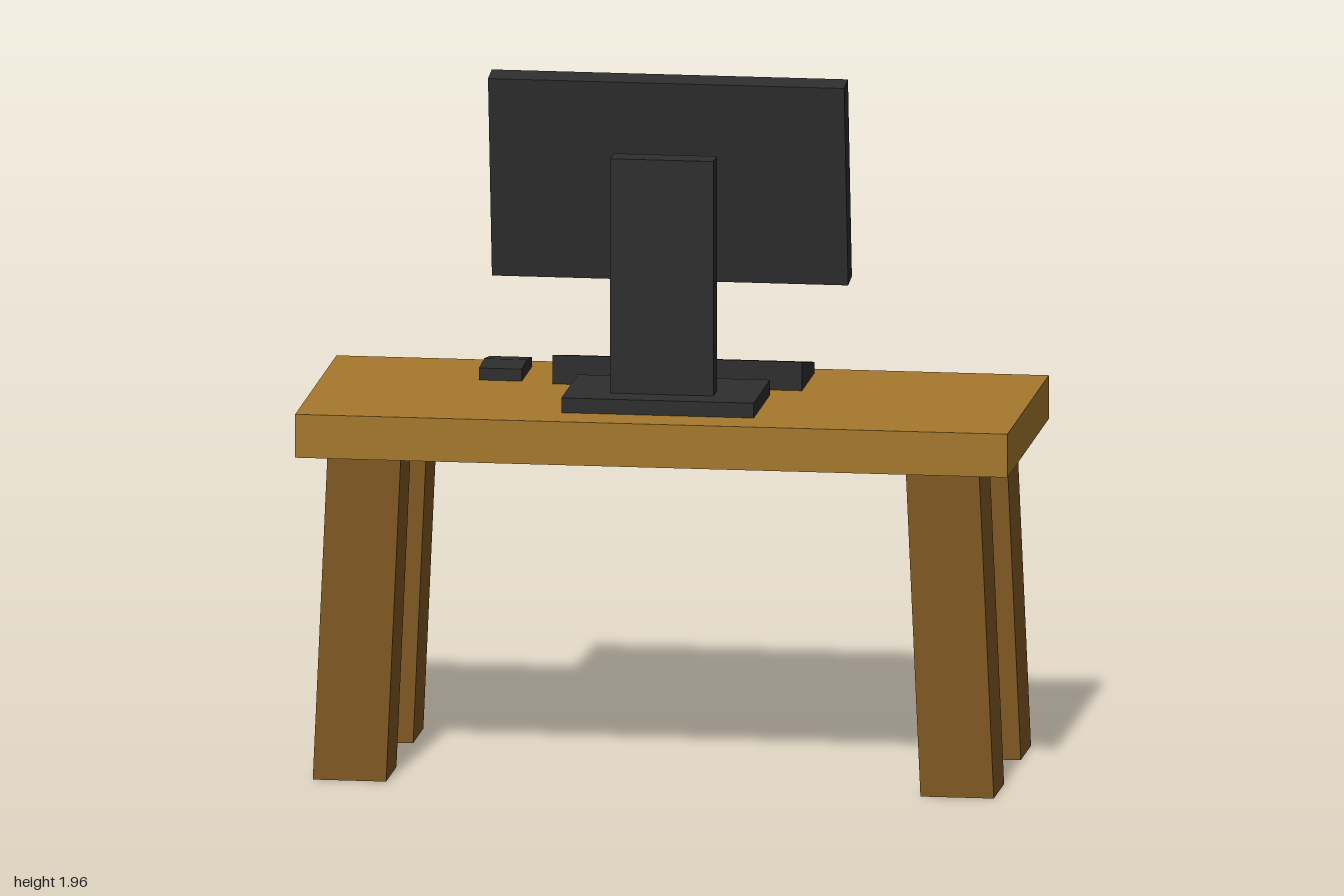
import * as THREE from 'three';

const mat = (name, color) => new THREE.MeshStandardMaterial({ name, color });

export function createModel() {
  const model = new THREE.Group();
  model.name = 'computerDesk';
  const wood = mat('lightWood', 0xa5782d);
  const legWood = mat('darkWood', 0x7f5823);
  const black = mat('charcoalPlastic', 0x2e2e2e);
  const grey = mat('screenGrey', 0xd0d0d0);
  const green = mat('chartGreen', 0x18c010);

  const add = (parent, name, geometry, material) => {
    const mesh = new THREE.Mesh(geometry, material);
    mesh.name = name;
    parent.add(mesh);
    return mesh;
  };

  // Box between limits; an optional rule moves its corners
  const box = (name, [x0, x1], [y0, y1], [z0, z1], material, rule, zSegments = 1) => {
    let g = new THREE.BoxGeometry(x1 - x0, y1 - y0, z1 - z0, 1, 1, zSegments);
    g.translate((x0 + x1) / 2, (y0 + y1) / 2, (z0 + z1) / 2);
    if (rule) {
      g = g.toNonIndexed();
      const p = g.attributes.position;
      const v = new THREE.Vector3();
      for (let i = 0; i < p.count; i++) {
        rule(v.fromBufferAttribute(p, i));
        p.setXYZ(i, v.x, v.y, v.z);
      }
      g.computeVertexNormals();
    }
    return add(model, name, g, material);
  };

  // Table top and four legs splayed sideways
  box('tableTop', [-1, 1], [0.92, 1.043], [-0.415, 0.415], wood);
  for (const side of [-1, 1]) {
    for (const z of [-0.268, 0.272]) {
      box('tableLeg', [side * 0.853 - 0.103, side * 0.853 + 0.103], [0, 0.92],
        [z - 0.103, z + 0.103], legWood, (v) => { if (v.y > 0.5) v.x -= side * 0.041; });
    }
  }

  // Monitor stand
  box('standBase', [-0.27, 0.27], [1.043, 1.085], [-0.04, 0.29], black);
  box('standColumn', [-0.145, 0.145], [1.085, 1.75], [0.13, 0.205], black);
  box('standBracket', [-0.12, 0.12], [1.59, 1.665], [0.06, 0.13], black);

  // Keyboard wedge, lower toward the user
  box('keyboard', [-0.35, 0.35], [1.043, 1.125], [-0.355, -0.105], black,
    (v) => { if (v.y > 1.1 && v.z < -0.2) v.y = 1.075; });

  // Mouse with a ridge across its back
  box('mouse', [-0.56, -0.44], [1.043, 1.083], [-0.34, -0.13], black,
    (v) => { if (v.y > 1.06) v.y -= v.z < -0.3 ? 0.014 : v.z > -0.2 ? 0.006 : 0; }, 2);

  // Tilted display
  const display = new THREE.Group();
  display.name = 'display';
  display.position.set(0, 1.668, 0.041);
  display.rotation.x = 0.136;
  model.add(display);
  add(display, 'displayCase', new THREE.BoxGeometry(1, 0.58, 0.077), black);

  // Screen group looks toward -z
  const face = new THREE.Group();
  face.name = 'screen';
  face.rotation.y = Math.PI;
  face.position.z = -0.0385;
  display.add(face);

  const w = 0.463, h = 0.255, r = 0.025;
  const panel = new THREE.Shape();
  panel.moveTo(-w + r, -h);
  panel.absarc(w - r, -h + r, r, -Math.PI / 2, 0);
  panel.absarc(w - r, h - r, r, 0, Math.PI / 2);
  panel.absarc(-w + r, h - r, r, Math.PI / 2, Math.PI);
  panel.absarc(-w + r, -h + r, r, Math.PI, Math.PI * 1.5);
  add(face, 'screenPanel', new THREE.ShapeGeometry(panel, 4), grey).position.z = 0.002;

  // Dotted chart line
  const path = [[-0.445, -0.226], [-0.197, 0.028], [-0.024, -0.141], [0.215, 0.095]];
  const counts = [8, 6, 8];
  const dot = (x, y, radius) =>
    add(face, 'chartDot', new THREE.CircleGeometry(radius, 12), green).position.set(x, y, 0.005);
  counts.forEach((n, s) => {
    const [a, b] = [path[s], path[s + 1]];
    for (let i = 0; i < n; i++) {
      const t = i / n;
      dot(a[0] + (b[0] - a[0]) * t, a[1] + (b[1] - a[1]) * t, s === 1 ? 0.011 : 0.014);
    }
  });
  dot(-0.44, -0.218, 0.018);

  // Arrowhead at the end of the line
  const arrow = new THREE.Shape([
    [0.163, 0.142], [0.195, 0.118], [0.2, 0.085], [0.225, 0.08], [0.243, 0.095],
    [0.243, 0.055], [0.272, 0.06], [0.287, 0.12], [0.272, 0.168], [0.24, 0.18], [0.165, 0.168],
  ].map(([x, y]) => new THREE.Vector2(x, y)));
  add(face, 'chartArrowhead', new THREE.ShapeGeometry(arrow), green).position.z = 0.006;

  return model;
}
